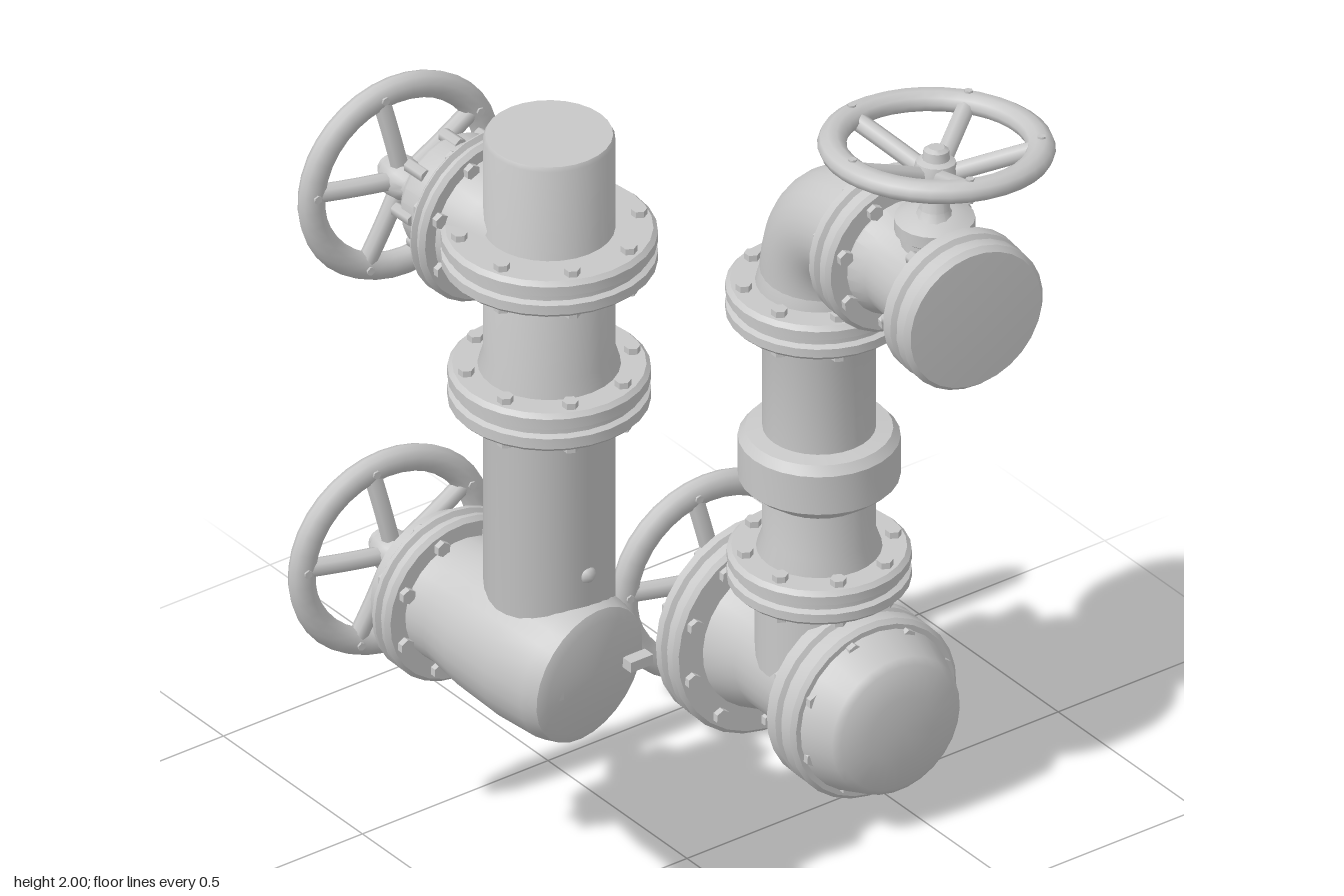
import * as THREE from 'three';
import { toCreasedNormals } from 'three/addons/utils/BufferGeometryUtils.js';

const UP = new THREE.Vector3(0, 1, 0);

export function createModel() {
  const model = new THREE.Group();
  const iron = new THREE.MeshStandardMaterial({ color: 0xc8c8c8 });
  iron.name = 'cast iron grey';

  function add(parent, name, geometry) {
    const mesh = new THREE.Mesh(geometry, iron);
    mesh.name = name;
    parent.add(mesh);
    return mesh;
  }

  // A group whose local y runs from one point along a direction
  function axis(name, origin, direction) {
    const g = new THREE.Group();
    g.name = name;
    g.position.set(...origin);
    g.quaternion.setFromUnitVectors(UP, new THREE.Vector3(...direction).normalize());
    model.add(g);
    return g;
  }

  // Turned part from [radius, height] pairs, listed from low to high
  function turned(parent, name, profile, sides = 28) {
    const pts = profile.map(([r, y]) => new THREE.Vector2(r, y));
    return add(parent, name, toCreasedNormals(new THREE.LatheGeometry(pts, sides), 0.6));
  }

  // Two rounded plates with a groove between, held by a ring of bolts
  function flange(parent, name, y0, y1, r, bolts = 8) {
    const m = (y0 + y1) / 2, b = 0.01;
    turned(parent, name, [[0, y0], [r - b, y0], [r, y0 + b], [r, m - 0.012], [r - 0.012, m - 0.006],
      [r - 0.012, m + 0.006], [r, m + 0.012], [r, y1 - b], [r - b, y1], [0, y1]]);
    for (let i = 0; i < bolts; i++) {
      const a = ((i + 0.5) / bolts) * Math.PI * 2;
      const bolt = add(parent, 'flangeBolt', toCreasedNormals(
        new THREE.CylinderGeometry(0.018, 0.018, y1 - y0 + 0.03, 6), 0.6));
      bolt.position.set(Math.cos(a) * (r - 0.035), m, Math.sin(a) * (r - 0.035));
    }
  }

  // Handwheel with five spokes and a nut; dish sinks the hub below the rim
  function handwheel(name, center, normal, stem, r, dish = 0) {
    const g = axis(name, center, normal);
    const tube = 0.032, R = r - tube;
    const rim = add(g, 'wheelRim', new THREE.TorusGeometry(R, tube, 10, 36));
    rim.rotation.x = Math.PI / 2;
    rim.scale.z = 0.8;
    for (let i = 0; i < 5; i++) {
      const spoke = new THREE.Group();
      spoke.rotation.y = (i / 5) * Math.PI * 2 + 0.62;
      g.add(spoke);
      const path = new THREE.QuadraticBezierCurve3(new THREE.Vector3(0.02, -0.015 - dish, 0),
        new THREE.Vector3(R * 0.5, -0.015 - dish * 0.4, 0), new THREE.Vector3(R, 0, 0));
      add(spoke, 'wheelSpoke', new THREE.TubeGeometry(path, 6, 0.021, 8));
      const stud = add(spoke, 'rimStud', new THREE.CylinderGeometry(0.01, 0.01, 0.058, 6));
      stud.position.x = R;
    }
    const hub = turned(g, 'wheelHub', [[0.03, -0.06], [0.045, -0.035], [0.05, -0.01], [0.044, 0.018],
      [0.03, 0.024], [0.028, 0.045], [0.018, 0.052], [0, 0.052]], 14);
    hub.position.y = -dish;
    turned(g, 'valveStem', [[0.05, -stem], [0.034, -stem + 0.03], [0.028, -0.03 - dish]], 12);
  }

  // ---- Left-hand riser (at -x) ----
  const riser = axis('tallRiser', [-0.39, 0, 0.025], [0, 1, 0]);
  turned(riser, 'riserPipe', [[0, 0.545], [0.08, 0.56], [0.125, 0.61], [0.143, 0.69], [0.143, 1.28],
    [0.155, 1.33], [0.155, 1.42], [0.143, 1.46], [0.143, 1.99], [0.138, 2], [0, 2]]);
  flange(riser, 'middleFlange', 1.325, 1.42, 0.22);
  flange(riser, 'upperFlange', 1.675, 1.765, 0.235);
  const port = add(riser, 'drainPlug', new THREE.SphereGeometry(0.022, 10, 8));
  port.position.set(0, 0.95, 0.132);

  // Blunt body at the foot of the riser, leading back to the valve
  const foot = axis('footElbow', [-0.393, 0.703, 0.188], [-0.07, 0.035, -0.45]);
  turned(foot, 'elbowBody', [[0, 0], [0.14, 0], [0.163, 0.012], [0.174, 0.05], [0.176, 0.16],
    [0.165, 0.29], [0.15, 0.37], [0.15, 0.43]]);
  for (const s of [-1, 1]) {
    const rib = add(model, 'capRib', new THREE.BoxGeometry(0.06, 0.025, 0.03));
    rib.position.set(-0.393 + s * 0.12, 0.7, 0.188);
  }
  const lowerValve = axis('lowerValve', [-0.455, 0.73, -0.2], [0.03, 0, -1]);
  flange(lowerValve, 'lowerValveFlange', 0, 0.065, 0.2);
  turned(lowerValve, 'lowerValveBonnet', [[0.165, 0.05], [0.165, 0.11], [0.13, 0.125], [0.075, 0.13],
    [0.055, 0.17], [0, 0.17]]);
  handwheel('lowerHandwheel', [-0.47, 0.745, -0.44], [0.1, 0, -1], 0.1, 0.255);

  // Upper branch and valve
  const upperValve = axis('upperValve', [-0.415, 1.715, 0], [-0.03, 0, -1]);
  turned(upperValve, 'branchNeck', [[0.13, 0.02], [0.135, 0.08], [0.165, 0.14]]);
  flange(upperValve, 'upperValveFlange', 0.135, 0.185, 0.2);
  turned(upperValve, 'upperValveBonnet', [[0.135, 0.18], [0.14, 0.2], [0.14, 0.28], [0.13, 0.295],
    [0.09, 0.3], [0.07, 0.34], [0, 0.34]]);
  for (let i = 0; i < 8; i++) {
    const a = (i / 8) * Math.PI * 2;
    const nut = add(upperValve, 'bonnetNut', new THREE.CylinderGeometry(0.016, 0.016, 0.06, 6));
    nut.position.set(Math.cos(a) * 0.135, 0.275, Math.sin(a) * 0.135);
  }
  handwheel('upperHandwheel', [-0.45, 1.69, -0.435], [0.1, 0, -1], 0.12, 0.253);

  // ---- Right-hand riser (at +x) ----
  const short = axis('shortRiser', [0.44, 0, -0.112], [0, 1, 0]);
  turned(short, 'shortPipe', [[0.14, 0.3], [0.14, 0.5], [0.14, 0.57], [0.123, 0.62], [0.123, 1.11],
    [0.14, 1.17], [0.14, 1.25], [0.126, 1.3]]);
  turned(short, 'collar', [[0.12, 0.72], [0.16, 0.75], [0.176, 0.765], [0.176, 0.86], [0.16, 0.88],
    [0.12, 0.885]]);
  flange(short, 'baseFlange', 0.495, 0.58, 0.2);
  flange(short, 'elbowFlange', 1.17, 1.255, 0.203);

  // Bend from the riser forward to the outlet
  const bend = new THREE.CubicBezierCurve3(new THREE.Vector3(0.44, 1.25, -0.112),
    new THREE.Vector3(0.44, 1.4, -0.112), new THREE.Vector3(0.425, 1.495, -0.02),
    new THREE.Vector3(0.415, 1.495, 0.16));
  add(model, 'topElbow', new THREE.TubeGeometry(bend, 20, 0.13, 28));

  // Outlet with blank end plate
  const outlet = axis('outlet', [0.42, 1.492, 0.14], [-0.1, 0, 1]);
  turned(outlet, 'outletPipe', [[0.125, 0], [0.14, 0.09], [0.122, 0.13], [0.122, 0.25], [0.14, 0.3]]);
  flange(outlet, 'outletFlange', 0, 0.085, 0.19);
  turned(outlet, 'outletEndPlate', [[0.12, 0.285], [0.165, 0.29], [0.178, 0.3], [0.178, 0.33],
    [0.166, 0.337], [0.166, 0.345], [0.176, 0.352], [0.176, 0.38], [0.165, 0.393], [0, 0.4]]);
  for (let i = 0; i < 6; i++) {
    const a = (i / 6) * Math.PI * 2;
    const nut = add(outlet, 'endPlateNut', new THREE.CylinderGeometry(0.016, 0.016, 0.03, 6));
    nut.position.set(Math.cos(a) * 0.148, 0.28, Math.sin(a) * 0.148);
  }
  const outletValve = axis('outletValve', [0.405, 1.58, 0.35], [0, 1, 0]);
  turned(outletValve, 'outletValveBoss', [[0.075, 0], [0.075, 0.035], [0.088, 0.045], [0.088, 0.075],
    [0.07, 0.085], [0.045, 0.095], [0, 0.1]], 20);
  handwheel('outletHandwheel', [0.41, 1.834, 0.35], [0.08, 1, -0.06], 0.18, 0.258, 0.055);

  // Horizontal base body with domed cap, rear flange and valve
  const base = axis('baseBody', [0.43, 0.268, 0.2], [0.05, -0.022, -0.8]);
  turned(base, 'domedCap', [[0, -0.005], [0.08, 0], [0.15, 0.012], [0.165, 0.025], [0.195, 0.11]]);
  flange(base, 'frontFlange', 0.105, 0.215, 0.215);
  turned(base, 'basePipe', [[0.185, 0.2], [0.165, 0.24], [0.152, 0.3], [0.152, 0.43], [0.18, 0.51]]);
  flange(base, 'rearFlange', 0.515, 0.6, 0.249, 10);
  turned(base, 'baseBonnet', [[0.17, 0.59], [0.16, 0.63], [0.11, 0.645], [0.06, 0.65], [0.045, 0.69],
    [0, 0.69]]);
  // Yoke arms around the stem
  for (const s of [-1, 1]) {
    const arm = new THREE.LineCurve3(new THREE.Vector3(s * 0.15, 0.6, 0),
      new THREE.Vector3(s * 0.1, 0.7, 0));
    add(base, 'yokeArm', new THREE.TubeGeometry(arm, 1, 0.026, 8));
  }
  const yokeBar = add(base, 'yokeBar', new THREE.BoxGeometry(0.24, 0.025, 0.05));
  yokeBar.position.y = 0.7;
  handwheel('baseHandwheel', [0.48, 0.275, -0.548], [0.1, 0, -1], 0.12, 0.256);

  return model;
}
